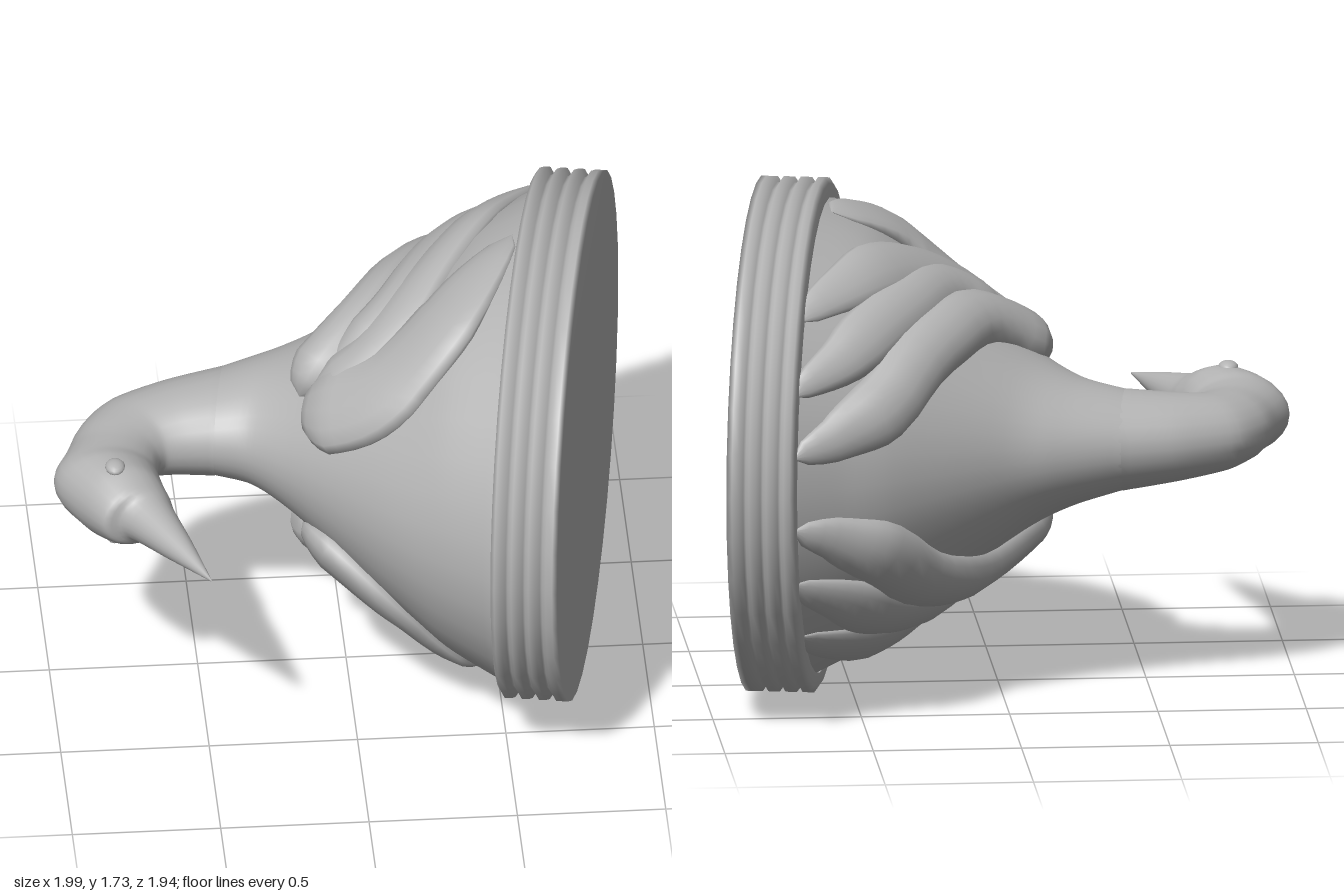
import * as THREE from 'three';

const MID = 0.865; // height of the model's plane of symmetry
const SIDES = 36;
const V = (x, y, z) => new THREE.Vector3(x, y, z);

// Closed surface from rows of points, smooth normals shared around the loop
function gridMesh(name, rows, sides, pointAt, material) {
  const pos = [], index = [];
  for (let i = 0; i <= rows; i++)
    for (let j = 0; j < sides; j++) pos.push(...pointAt(i / rows, (j / sides) * Math.PI * 2, i).toArray());
  for (let i = 0; i < rows; i++)
    for (let j = 0; j < sides; j++) {
      const k = (j + 1) % sides;
      const a = i * sides + j, b = a + sides, c = i * sides + k, d = c + sides;
      index.push(a, b, c, b, d, c);
    }
  const g = new THREE.BufferGeometry();
  g.setAttribute('position', new THREE.Float32BufferAttribute(pos, 3));
  g.setIndex(index);
  g.computeVertexNormals();
  const mesh = new THREE.Mesh(g, material);
  mesh.name = name;
  return mesh;
}

// Sections are [backX, backZ, frontX, frontZ, halfHeight]; returns point(t, angle)
function loftSurface(sections) {
  const curve = (ix, iz) => new THREE.CatmullRomCurve3(
    sections.map((s) => V(s[ix], s[4], s[iz])), false, 'catmullrom', 0.4);
  const back = curve(0, 1), front = curve(2, 3);
  return (t, a) => {
    const b = back.getPoint(t), f = front.getPoint(t), c = Math.cos(a);
    return V((b.x + f.x) / 2 + ((f.x - b.x) / 2) * c,
      MID + Math.max(0, f.y) * Math.sin(a),
      (b.z + f.z) / 2 + ((f.z - b.z) / 2) * c);
  };
}

export function createModel() {
  const group = new THREE.Group();
  const grey = new THREE.MeshStandardMaterial({ color: 0xb4b4b4 });
  grey.name = 'plain grey';

  // Flaring bell-shaped body
  const bodySections = [
    [-0.385, -0.385, -0.46, 0.04, 0.165],
    [-0.15, -0.46, -0.34, 0.08, 0.215],
    [0.03, -0.53, -0.21, 0.21, 0.30],
    [0.41, -0.745, 0.08, 0.57, 0.55],
    [0.60, -0.83, 0.24, 0.73, 0.70],
    [0.78, -0.92, 0.42, 0.88, 0.80],
  ];
  const body = loftSurface(bodySections);
  group.add(gridMesh('body', 30, SIDES, body, grey));

  // Beak, head and curved neck
  const neck = loftSurface([
    [-0.515, 0.797, -0.513, 0.795, 0.003],
    [-0.66, 0.60, -0.56, 0.58, 0.05],
    [-0.78, 0.44, -0.605, 0.40, 0.085],
    [-0.85, 0.43, -0.615, 0.33, 0.11],
    [-0.92, 0.33, -0.63, 0.27, 0.14],
    [-0.985, 0.215, -0.64, 0.20, 0.14],
    [-0.995, 0.14, -0.645, 0.15, 0.13],
    [-0.945, 0.02, -0.64, 0.10, 0.125],
    [-0.90, -0.10, -0.63, 0.07, 0.128],
    [-0.80, -0.23, -0.605, 0.045, 0.135],
    [-0.60, -0.325, -0.55, 0.04, 0.15],
    [-0.375, -0.388, -0.45, 0.045, 0.169],
  ]);
  group.add(gridMesh('neckAndHead', 55, 24, neck, grey));

  // Ridged rim: four rounded hoops closed by a flat tilted base
  const profile = [[0, 0.92]];
  for (let k = 0; k < 4; k++) {
    const t = k * 0.058;
    profile.push([t + 0.004, 0.975], [t + 0.018, 0.998], [t + 0.04, 0.998], [t + 0.054, 0.972]);
  }
  profile.pop();
  profile.push([0.232, 0.998], [0.232, 0]);
  group.add(gridMesh('rim', profile.length - 1, SIDES, (t, a, i) => {
    const [d, r] = profile[i];
    const c = Math.cos(a) * r * 0.968;
    return V(0.585 + d * 0.983 - c * 0.183, MID + Math.sin(a) * r * 0.865, -0.025 + d * 0.183 + c * 0.983);
  }, grey));

  // Feather lobes lying on the body: path of [section, degrees], half width, thickness
  const lobes = [
    ['leadingFeather', [[2.0, 53], [2.2, 68], [2.5, 93], [2.75, 126], [3.25, 155], [4.0, 165], [4.9, 171]], 0.115, 0.105],
    ['secondFeather', [[2.3, 62], [2.75, 84], [3.15, 116], [3.9, 141], [4.95, 156]], 0.105, 0.085],
    ['thirdFeather', [[2.2, 50], [2.6, 63], [3.1, 89], [3.9, 115], [4.95, 137]], 0.115, 0.08],
    ['broadFeather', [[2.1, 45], [2.6, 47], [3.15, 57], [3.9, 70], [4.75, 92]], 0.17, 0.085],
  ];
  const last = bodySections.length - 1;
  for (const side of [1, -1]) {
    const wing = new THREE.Group();
    wing.name = side > 0 ? 'upperWing' : 'lowerWing';
    for (const [name, path, width, thick] of lobes) {
      const curve = new THREE.CatmullRomCurve3(
        path.map(([s, deg]) => V(s / last, (side * deg * Math.PI) / 180, 0)));
      const at = (t) => {
        const p = curve.getPoint(t);
        return body(Math.min(p.x, 1), p.y);
      };
      wing.add(gridMesh(name, 24, 14, (t, a) => {
        const q = curve.getPoint(t), e = 0.01;
        const u = Math.min(q.x, 0.985);
        const p = at(t);
        const along = body(u + e, q.y).sub(body(u - e, q.y));
        const around = body(u, q.y + e).sub(body(u, q.y - e));
        const normal = along.cross(around).normalize();
        const tangent = at(Math.min(1, t + e)).sub(at(Math.max(0, t - e))).normalize();
        const across = normal.clone().cross(tangent).normalize();
        // Blunt at the shoulder, tapering toward the rim
        const swell = Math.sqrt(Math.min(1, t / 0.16)) * Math.sqrt(Math.min(1, (1 - t) / 0.3));
        return p.addScaledVector(across, width * swell * Math.cos(a))
          .addScaledVector(normal, -thick * swell * (1 - 0.45 * t) * Math.sin(a));
      }, grey));
    }
    group.add(wing);

    // Eye
    const eye = new THREE.Mesh(new THREE.SphereGeometry(1, 14, 10), grey);
    eye.name = side > 0 ? 'upperEye' : 'lowerEye';
    eye.scale.set(0.034, 0.022, 0.044);
    eye.position.set(-0.8, MID + side * 0.136, 0.285);
    group.add(eye);
  }
  return group;
}
